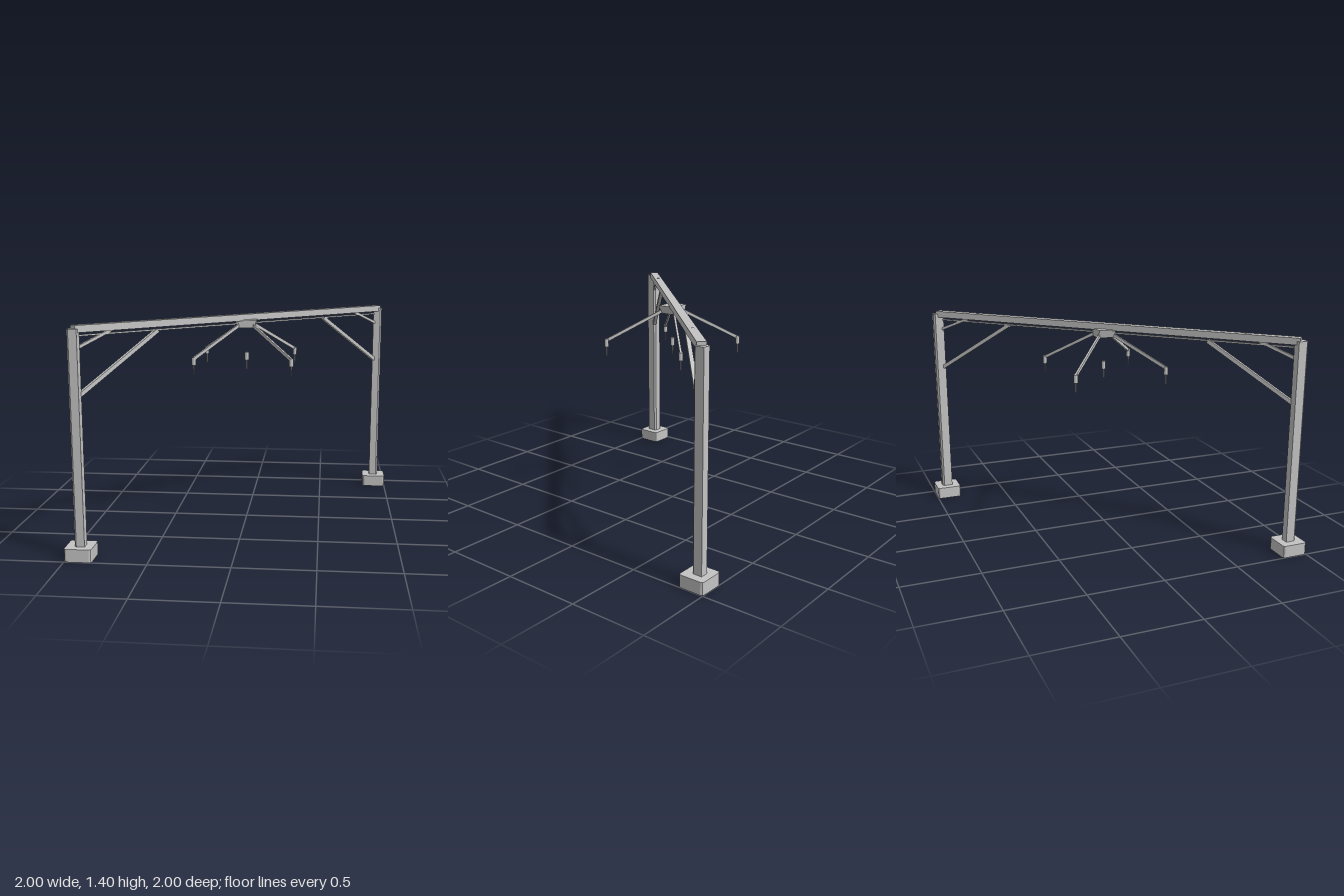
import * as THREE from 'three';

export function createModel() {
  const model = new THREE.Group();
  model.name = 'washGantry';
  const steel = new THREE.MeshStandardMaterial({ color: 0xc4c4c4 });
  steel.name = 'grey steel';

  const add = (parent, name, geometry, x = 0, y = 0, z = 0) => {
    const mesh = new THREE.Mesh(geometry, steel);
    mesh.name = name;
    mesh.position.set(x, y, z);
    parent.add(mesh);
    return mesh;
  };

  // Upright prism: a plan outline extruded in y
  const prism = (points, height) => {
    const shape = new THREE.Shape(points.map(([x, z]) => new THREE.Vector2(x, -z)));
    return new THREE.ExtrudeGeometry(shape, { depth: height, bevelEnabled: false })
      .rotateX(-Math.PI / 2);
  };

  // Square bar between two points of its parent (length on local z)
  const up = new THREE.Vector3(0, 1, 0);
  const bar = (parent, name, a, b, width, height) => {
    const from = new THREE.Vector3(...a), to = new THREE.Vector3(...b);
    const mesh = add(parent, name, new THREE.BoxGeometry(width, height, from.distanceTo(to)));
    mesh.position.copy(from).add(to).multiplyScalar(0.5);
    mesh.quaternion.setFromRotationMatrix(new THREE.Matrix4().lookAt(to, from, up));
  };

  // Feet with clipped corners, on opposite corners
  const f = 0.084, e = 0.079, c = 0.068;
  const footPlan = [[-f, -c], [-e, -e], [-c, -f], [c, -f], [e, -e], [f, -c],
    [f, c], [e, e], [c, f], [-c, f], [-e, e], [-f, c]];
  // Columns with two opposite edges chamfered; s mirrors the plan
  const w = 0.031, d = 0.035, k = 0.012;
  const columnPlan = [[-w + k, -d], [w, -d], [w, d - k], [w - k, d], [-w, d], [-w, -d + k]];
  for (const s of [-1, 1]) {
    const name = s > 0 ? 'left' : 'right';
    add(model, name + 'Foot', prism(footPlan, 0.08), s * 0.916, 0, -s * 0.916);
    const plan = s > 0 ? columnPlan : columnPlan.map(([x, z]) => [-x, z]).reverse();
    add(model, name + 'Column', prism(plan, 1.3), s * 0.915, 0.08, -s * 0.918);
  }

  // Everything overhead runs along the diagonal between the columns
  const overhead = new THREE.Group();
  overhead.name = 'overhead';
  overhead.rotation.y = Math.PI / 4;
  model.add(overhead);

  add(overhead, 'beam', new THREE.BoxGeometry(2.59, 0.043, 0.055), 0, 1.378, 0);
  add(overhead, 'guideRail', new THREE.BoxGeometry(2.52, 0.01, 0.012), 0, 1.338, 0);

  // Long and short diagonal braces at each end
  for (const s of [-1, 1]) {
    bar(overhead, 'longBrace', [s * 1.265, 0.992, 0], [s * 0.715, 1.335, 0], 0.025, 0.025);
    bar(overhead, 'shortBrace', [s * 1.265, 1.27, 0], [s * 0.95, 1.395, 0], 0.018, 0.018);
  }

  // Carriage under the beam, narrower below
  const carriage = add(model, 'carriage', new THREE.BoxGeometry(0.144, 0.054, 0.114), 0, 1.337, 0);
  const p = carriage.geometry.attributes.position;
  for (let i = 0; i < p.count; i++) if (p.getY(i) < 0) p.setX(i, p.getX(i) * 0.75);
  carriage.geometry.computeVertexNormals();

  // Spray heads: one on each of four arms, one in the middle
  const head = (x, z) => {
    add(overhead, 'sprayHead', new THREE.CylinderGeometry(0.014, 0.014, 0.052, 16), x, 1.118, z);
    add(overhead, 'nozzle', new THREE.CylinderGeometry(0.005, 0.004, 0.062, 10), x, 1.061, z);
  };
  head(0, 0);
  for (const [x, z] of [[1, 0], [-1, 0], [0, 1], [0, -1]]) {
    bar(overhead, 'sprayArm', [x * 0.06, 1.33, z * 0.06], [x * 0.44, 1.135, z * 0.44], 0.014, 0.02);
    head(x * 0.44, z * 0.44);
  }
  return model;
}
